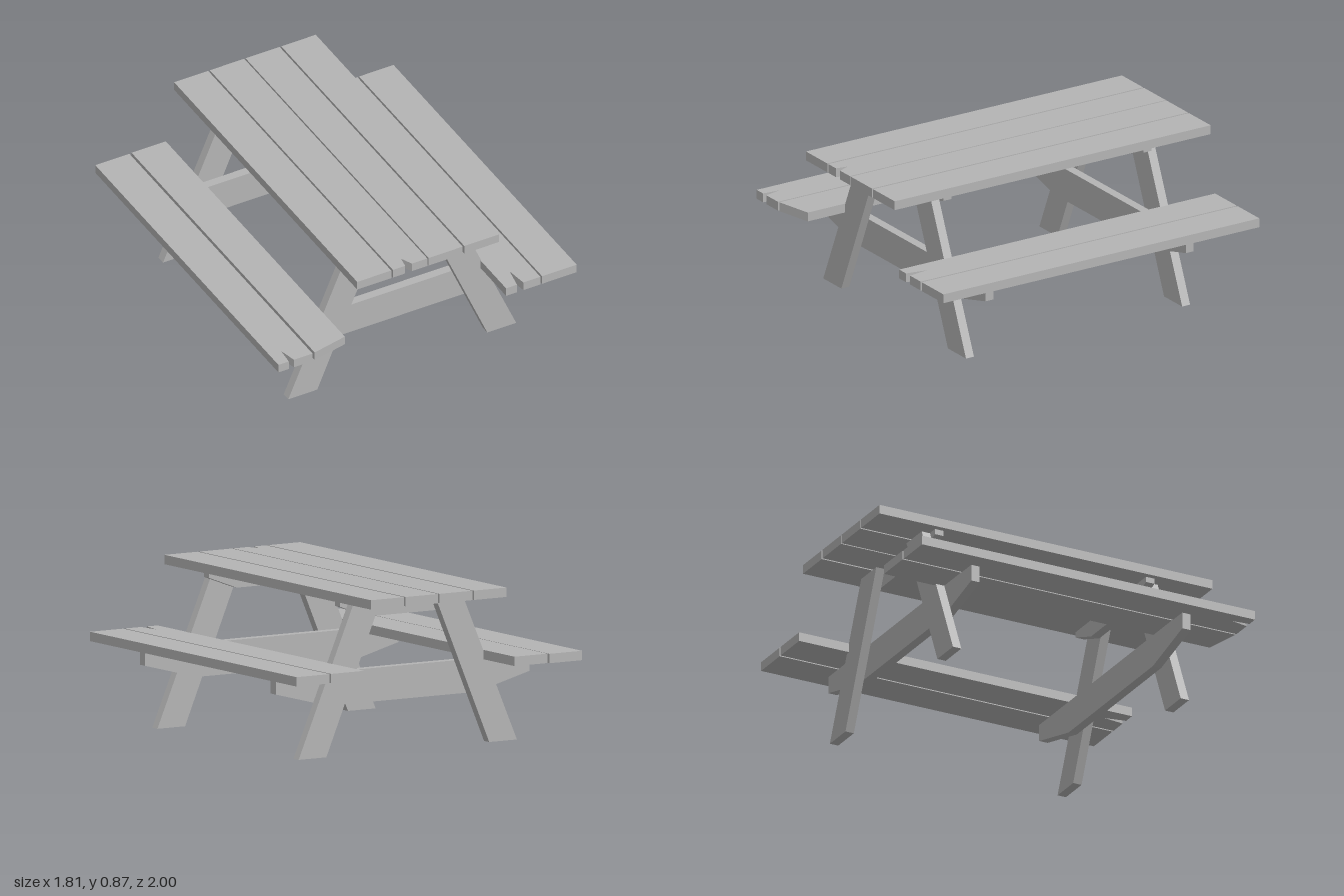
import * as THREE from 'three';

const wood = new THREE.MeshStandardMaterial({ color: 0xb4b4b4 });
wood.name = 'greyWood';

const THICK = 0.05;
const HALF = 0.994;

// Extrudes a closed outline of [x, y] points
function extrude(points, depth) {
  const shape = new THREE.Shape(points.map(([x, y]) => new THREE.Vector2(x, y)));
  return new THREE.ExtrudeGeometry(shape, { depth, bevelEnabled: false });
}

function addMesh(parent, name, geometry) {
  const mesh = new THREE.Mesh(geometry, wood);
  mesh.name = name;
  parent.add(mesh);
  return mesh;
}

// Long plank from x0 to x1; frontEnd lists extra [x, z] points along its front edge
function addPlank(parent, name, x0, x1, y, frontEnd = [], z1 = HALF) {
  const outline = [[x0, HALF], [x0, -HALF], [x1, -HALF], [x1, z1], ...frontEnd];
  const geometry = extrude(outline.map(([x, z]) => [x, -z]).reverse(), THICK);
  geometry.rotateX(-Math.PI / 2);
  return addMesh(parent, name, geometry).position.setY(y);
}

// Pointed split in a plank end, listed from right to left
const split = (left, tip, right, depth) => [[right, HALF], [tip, HALF - depth], [left, HALF]];

// Cross beam with its lower corners cut at a slant
function addBeam(parent, name, halfWidth, halfBottom, y0, yCut, y1, z) {
  const geometry = extrude([
    [-halfBottom, y0], [halfBottom, y0], [halfWidth, yCut],
    [halfWidth, y1], [-halfWidth, y1], [-halfWidth, yCut],
  ], THICK);
  addMesh(parent, name, geometry).position.z = z;
}

export function createModel() {
  const group = new THREE.Group();
  group.name = 'picnicTable';

  // Table top
  const top = new THREE.Group();
  top.name = 'tableTop';
  addPlank(top, 'topPlank1', -0.426, -0.221, 0.815);
  addPlank(top, 'topPlank2', -0.211, -0.004, 0.815, split(-0.137, -0.126, -0.097, 0.065));
  addPlank(top, 'topPlank3', 0.004, 0.209, 0.815);
  addPlank(top, 'topPlank4', 0.219, 0.427, 0.815);

  // Benches, with weathered front ends
  const rightBench = new THREE.Group();
  rightBench.name = 'rightBench';
  addPlank(rightBench, 'outerPlank', -0.9, -0.695, 0.441, split(-0.838, -0.829, -0.807, 0.1));
  addPlank(rightBench, 'innerPlank', -0.682, -0.476, 0.443, [], 0.95);

  const leftBench = new THREE.Group();
  leftBench.name = 'leftBench';
  addPlank(leftBench, 'innerPlank', 0.47, 0.677, 0.443, split(0.536, 0.558, 0.574, 0.12));
  addPlank(leftBench, 'outerPlank', 0.687, 0.895, 0.443);
  group.add(top, rightBench, leftBench);

  // Two trestle frames: legs on the outside, beams on the inside
  for (const [name, legZ, beamZ] of [['front', 0.665, 0.615], ['back', -0.695, -0.645]]) {
    const frame = new THREE.Group();
    frame.name = name + 'Frame';
    addBeam(frame, 'topBeam', 0.393, 0.22, 0.72, 0.785, 0.815, beamZ);
    addBeam(frame, 'benchBeam', 0.797, 0.47, 0.265, 0.35, 0.443, beamZ);
    for (const side of [1, -1]) {
      const outline = [[0.512, 0], [0.686, 0], [0.337, 0.813], [0.168, 0.813]];
      const points = outline.map(([x, y]) => [x * side, y]);
      addMesh(frame, side > 0 ? 'leftLeg' : 'rightLeg', extrude(points, THICK)).position.z = legZ;
    }
    group.add(frame);
  }

  // The whole table stands very slightly askew
  group.rotation.y = 0.006;
  return group;
}
